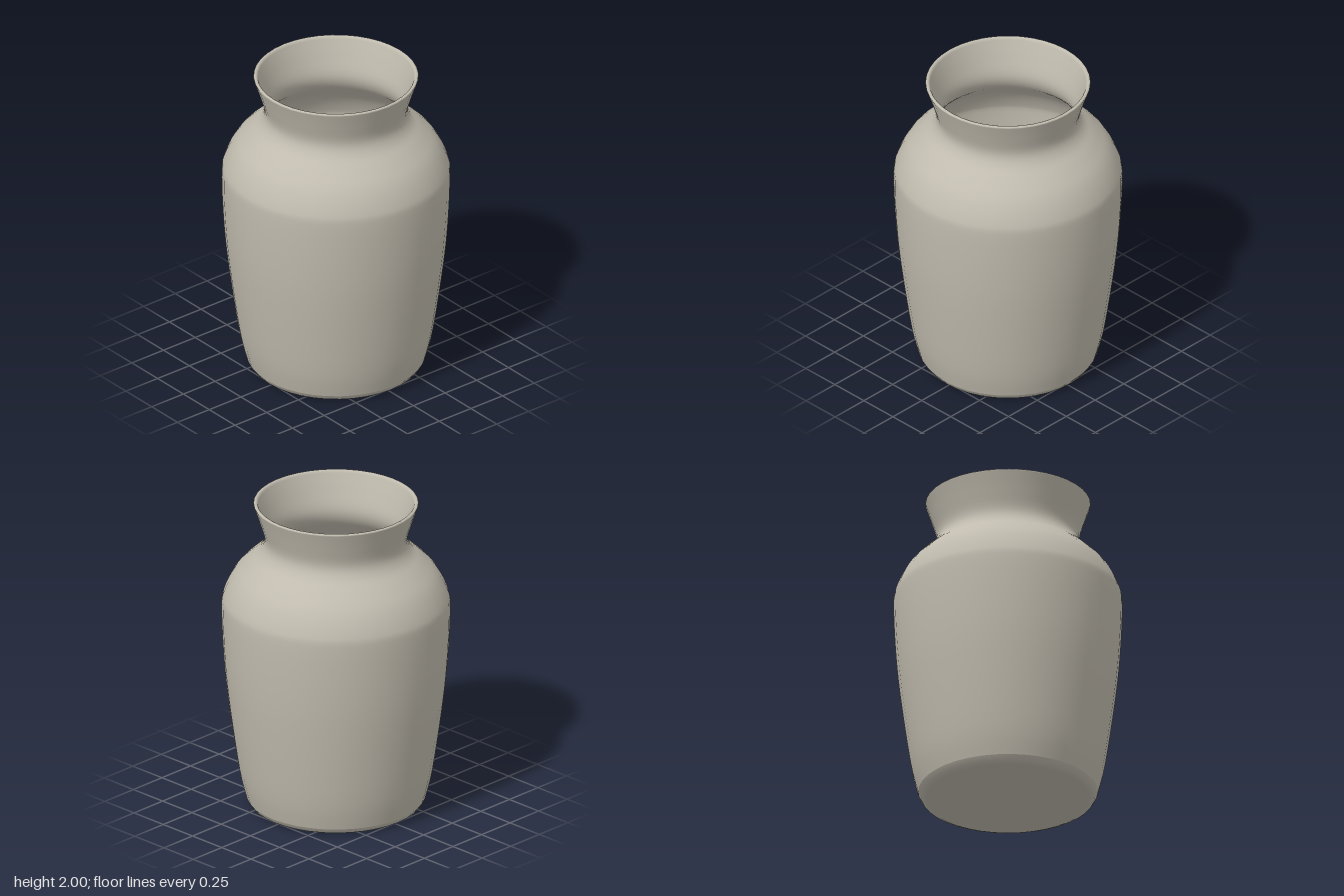
import * as THREE from 'three';

const SIDES = 40;

// Smooth profile through [radius, height] points
function profile(points, steps) {
  const curve = new THREE.SplineCurve(points.map(([r, y]) => new THREE.Vector2(r, y)));
  return curve.getPoints(steps).map((p) => new THREE.Vector2(Math.max(p.x, 0), p.y));
}

function turned(name, points, material) {
  const mesh = new THREE.Mesh(new THREE.LatheGeometry(points, SIDES), material);
  mesh.name = name;
  return mesh;
}

export function createModel() {
  const group = new THREE.Group();
  group.name = 'vase';
  const clay = new THREE.MeshStandardMaterial({ color: 0xc0bbae });
  clay.name = 'stone grey';

  // Foot: shallow recess under the base and a rounded bottom edge
  const foot = [[0, 0.02], [0.32, 0.02], [0.36, 0.01], [0.42, 0.003], [0.5, 0.005], [0.53, 0.018], [0.55, 0.05]]
    .map(([r, y]) => new THREE.Vector2(r, y));
  group.add(turned('foot', foot, clay));

  // Outer wall: tapered body, round shoulder, pinched neck, flared mouth
  const outer = [[0.55, 0.05], [0.597, 0.25], [0.66, 0.7], [0.688, 1.0], [0.7, 1.3], [0.686, 1.4],
    [0.625, 1.52], [0.54, 1.61], [0.465, 1.68], [0.437, 1.76], [0.468, 1.88], [0.503, 1.985]];
  group.add(turned('outerWall', profile(outer, 44), clay));

  // Rounded lip
  const lip = profile([[0.503, 1.985], [0.505, 1.994], [0.495, 2], [0.484, 1.996], [0.478, 1.985]], 8);
  group.add(turned('lip', lip, clay));

  // Inner wall and floor
  const inner = [[0.478, 1.985], [0.442, 1.88], [0.411, 1.76], [0.438, 1.67], [0.515, 1.59], [0.6, 1.5],
    [0.658, 1.39], [0.672, 1.3], [0.66, 1.0], [0.632, 0.7], [0.57, 0.25], [0.53, 0.09], [0.48, 0.06]];
  group.add(turned('innerWall', profile(inner, 44), clay));
  const floor = [[0.48, 0.06], [0.3, 0.05], [0, 0.05]].map(([r, y]) => new THREE.Vector2(r, y));
  group.add(turned('innerFloor', floor, clay));

  return group;
}
